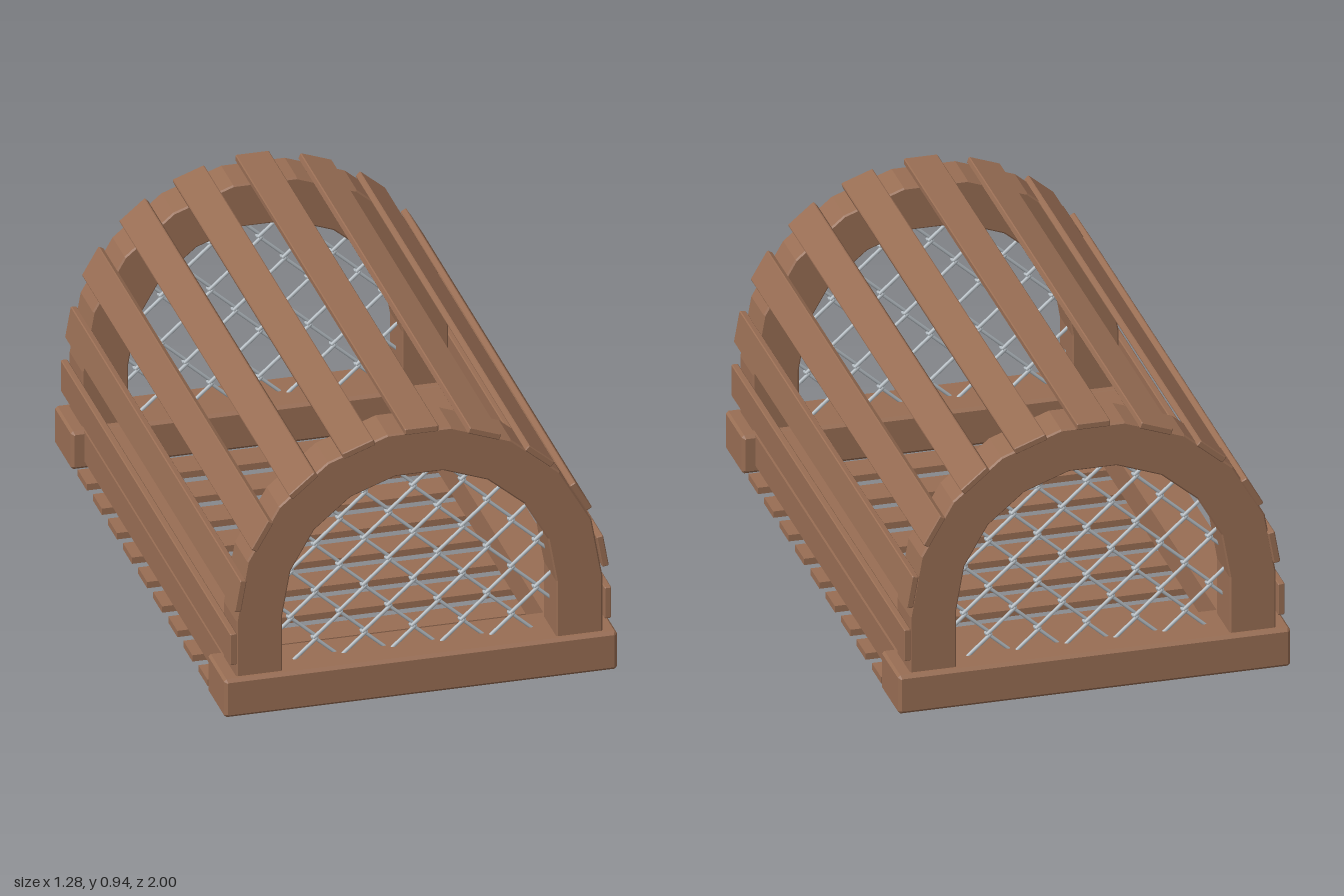
import * as THREE from 'three';

const CY = 0.328; // centre height of the arch curve

export function createModel() {
  const wood = new THREE.MeshStandardMaterial({ color: 0x996e54, flatShading: true });
  wood.name = 'brown wood';
  const wire = new THREE.MeshStandardMaterial({ color: 0xb6bec4 });
  wire.name = 'light grey wire';
  const model = new THREE.Group();
  model.name = 'archedSlatTrap';

  const add = (name, geometry, x = 0, y = 0, z = 0) => {
    const mesh = new THREE.Mesh(geometry, wood);
    mesh.name = name;
    mesh.position.set(x, y, z);
    model.add(mesh);
    return mesh;
  };

  // Extrusion centred on z with a small chamfer on both faces
  const chamfered = (shape, depth, bevel) => new THREE.ExtrudeGeometry(shape, {
    depth: depth - 2 * bevel, bevelEnabled: true, bevelSegments: 1,
    bevelSize: bevel, bevelThickness: bevel, bevelOffset: -bevel,
  }).translate(0, 0, bevel - depth / 2);

  const beamShape = (w, h, c) => new THREE.Shape([
    [-w + c, -h], [w - c, -h], [w, -h + c], [w, h - c],
    [w - c, h], [-w + c, h], [-w, h - c], [-w, -h + c],
  ].map(([x, y]) => new THREE.Vector2(x, y)));

  // Nine-sided half ring standing on straight legs
  const arc = (r) => Array.from({ length: 10 }, (_, i) => {
    const a = i * Math.PI / 9;
    return new THREE.Vector2(r * Math.cos(a), CY + r * Math.sin(a));
  });
  const archShape = new THREE.Shape([
    new THREE.Vector2(0.597, 0.12), ...arc(0.597), new THREE.Vector2(-0.597, 0.12),
    new THREE.Vector2(-0.446, 0.12), ...arc(0.446).reverse(), new THREE.Vector2(0.446, 0.12),
  ]);
  const archGeo = chamfered(archShape, 0.15, 0.005);
  const beamGeo = chamfered(beamShape(0.64, 0.0665, 0.008), 0.203, 0.01);

  // Chain-link wire: flattened zigzags hooked into their neighbours
  const inside = (p) => p.y > 0.12 && Math.abs(p.x) < 0.455 &&
    (p.y < CY || Math.hypot(p.x, p.y - CY) < 0.455);
  const addWire = (group, a, b) => {
    if (!inside(a) && !inside(b)) return;
    const p = a.clone(), q = b.clone(), step = b.clone().sub(a).multiplyScalar(0.05);
    while (!inside(p)) p.add(step);
    while (!inside(q)) q.sub(step);
    const dir = q.clone().sub(p), len = dir.length();
    if (len < 0.004) return;
    const mesh = new THREE.Mesh(new THREE.CylinderGeometry(0.006, 0.006, len, 6), wire);
    mesh.name = 'meshWire';
    mesh.position.copy(p).add(q).multiplyScalar(0.5);
    mesh.quaternion.setFromUnitVectors(new THREE.Vector3(0, 1, 0), dir.normalize());
    group.add(mesh);
  };
  const makeMesh = () => {
    const group = new THREE.Group();
    for (let k = -6; k < 6; k++) {
      const knot = (j, z) => {
        const left = (j + k) % 2 === 0;
        return new THREE.Vector3(left ? k * 0.08 - 0.006 : (k + 1) * 0.08 + 0.006, 0.527 + j * 0.082, z);
      };
      for (let j = -6; j < 4; j++) {
        const z = (j + k) % 2 === 0 ? 0.008 : -0.008;
        addWire(group, knot(j, z), knot(j + 1, z));
        addWire(group, knot(j + 1, z), knot(j + 1, -z)); // hook
      }
    }
    return group;
  };

  // Both ends: base beam, arch and wire mesh
  for (const [s, end] of [[1, 'front'], [-1, 'back']]) {
    add(end + 'BaseBeam', beamGeo, 0, 0.0685, s * 0.8985);
    add(end + 'Arch', archGeo, 0, 0, s * 0.904);
    const net = makeMesh();
    net.name = end + 'WireMesh';
    net.position.z = s * 0.9;
    model.add(net);
  }

  // Side rails joining the base beams
  for (const [s, side] of [[1, 'left'], [-1, 'right']]) {
    add(side + 'Rail', new THREE.BoxGeometry(0.145, 0.105, 1.62), s * 0.525, 0.0805, 0);
  }

  // Floor slats
  const floorGeo = new THREE.BoxGeometry(1.26, 0.022, 0.106);
  for (let i = -4; i <= 4; i++) add('floorSlat', floorGeo, 0, 0.011, i * 0.177);

  // Long slats over the arches, plus one upright slat low on each side
  const slatGeo = chamfered(beamShape(0.055, 0.011, 0.003), 1.99, 0.003);
  for (let i = 0; i < 9; i++) {
    const a = (10 + 20 * i) * Math.PI / 180;
    const drop = i === 0 || i === 8 ? 0.01 : i === 4 ? 0 : 0.004;
    const slat = add('roofSlat', slatGeo, 0.003 + 0.599 * Math.cos(a), CY - drop + 0.599 * Math.sin(a), 0);
    slat.rotation.z = a - Math.PI / 2;
  }
  for (const s of [1, -1]) {
    add('sideSlat', slatGeo, s * 0.61, 0.239, 0).rotation.z = -s * Math.PI / 2;
  }
  return model;
}
